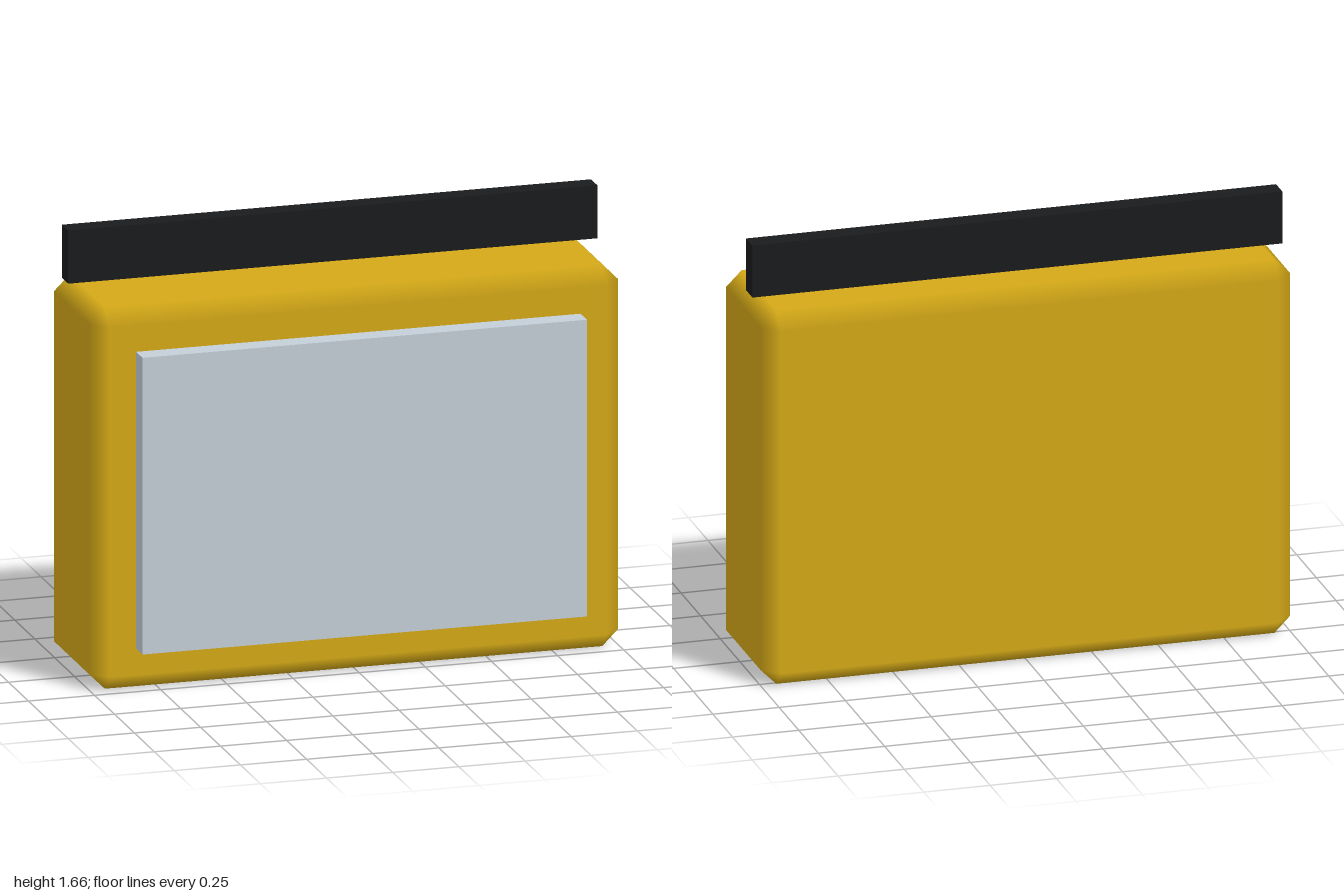
import * as THREE from 'three';
import { ConvexGeometry } from 'three/addons/geometries/ConvexGeometry.js';

// Box with single-step bevels; faces stay flat while bevels shade smoothly.
function bevelledBox(w, h, d, bevel) {
  const half = [w / 2, h / 2, d / 2];
  const points = [];
  for (const sx of [-1, 1]) for (const sy of [-1, 1]) for (const sz of [-1, 1]) {
    const signs = [sx, sy, sz];
    for (let axis = 0; axis < 3; axis++) {
      const p = signs.map((s, i) => s * (half[i] - (i === axis ? 0 : bevel)));
      points.push(new THREE.Vector3(...p));
    }
  }
  const geometry = new ConvexGeometry(points);
  const position = geometry.attributes.position;
  const normal = geometry.attributes.normal;
  // Each corner takes the normal of the flat face it lies on.
  for (let i = 0; i < position.count; i++) {
    const n = half.map((limit, axis) => {
      const v = position.getComponent(i, axis);
      return Math.abs(v) > limit - bevel / 2 ? Math.sign(v) : 0;
    });
    normal.setXYZ(i, ...n);
  }
  return geometry;
}

export function createModel() {
  const group = new THREE.Group();

  const add = (name, geometry, color, x, y, z) => {
    const mesh = new THREE.Mesh(geometry, new THREE.MeshStandardMaterial({ color }));
    mesh.name = name;
    mesh.position.set(x, y, z);
    group.add(mesh);
  };

  // Bevelled cabinet
  add('body', bevelledBox(2, 1.44, 0.56, 0.06), 0xd4a917, 0, 0.72, -0.04);

  // Raised panel on the front
  add('frontPanel', new THREE.BoxGeometry(1.68, 1.12, 0.08), 0xc4cfd8, 0, 0.72, 0.28);

  // Dark bar floating just above the cabinet
  add('topBar', new THREE.BoxGeometry(2, 0.2, 0.08), 0x1a1b1d, 0, 1.56, -0.12);

  return group;
}
